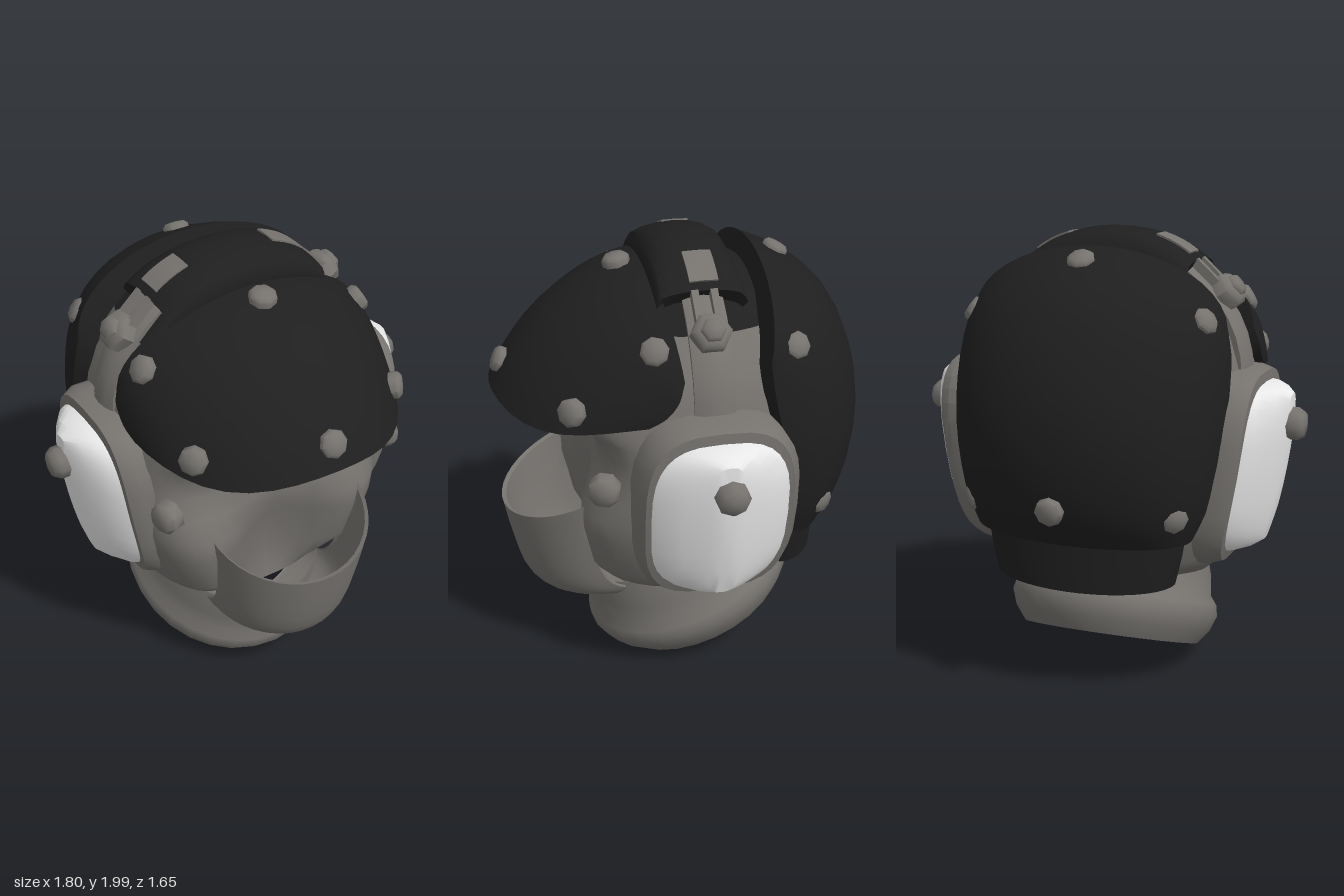
import * as THREE from 'three';
import { toCreasedNormals } from 'three/addons/utils/BufferGeometryUtils.js';

const paint = (name, color) =>
  new THREE.MeshStandardMaterial({ name, color, side: THREE.DoubleSide });

// Surface from cross-section rows: fn(i, j) gives a point
function grid(fn, rows, cols, wrap, crease) {
  const pos = [], idx = [];
  for (let i = 0; i < rows; i++) for (let j = 0; j < cols; j++) pos.push(...fn(i, j));
  for (let i = 0; i < rows - 1; i++) {
    for (let j = 0; j < (wrap ? cols : cols - 1); j++) {
      const a = i * cols + j, b = i * cols + (j + 1) % cols;
      idx.push(a, b, a + cols, b, b + cols, a + cols);
    }
  }
  const g = new THREE.BufferGeometry();
  g.setAttribute('position', new THREE.Float32BufferAttribute(pos, 3));
  g.setIndex(idx);
  g.computeVertexNormals();
  return crease ? toCreasedNormals(g, crease) : g;
}

// Curved padded panel. apex: [y, z] on the centre line, ends: [w, y, z] at the sides.
// The border is folded inwards towards "centre" to give the panel its thickness.
function panel({ apex, ends, t0 = -Math.PI / 2, t1 = Math.PI / 2, centre = 1.1, k = 0.9, dip = 0, nv = 12, nu = 20 }) {
  const A = new THREE.CatmullRomCurve3(apex.map(([y, z]) => new THREE.Vector3(0, y, z)));
  const E = new THREE.CatmullRomCurve3(ends.map(([w, y, z]) => new THREE.Vector3(w, y, z)));
  const clamp = THREE.MathUtils.clamp;
  return grid((i, j) => {
    const v = clamp(i - 1, 0, nv) / nv, u = clamp(j - 1, 0, nu) / nu;
    const t = t0 + (t1 - t0) * u, c = Math.cos(t), s = Math.sin(t);
    const a = A.getPoint(v), e = E.getPoint(v);
    const y = e.y + (a.y - e.y) * c - dip * (1 - v) * Math.sin(2 * t) ** 2;
    const z = e.z + (a.z - e.z) * c;
    const f = i < 1 || j < 1 || i > nv + 1 || j > nu + 1 ? k : 1;
    return [e.x * s * f, centre + (y - centre) * f, z * f];
  }, nv + 3, nu + 3, false, 0.7);
}

const power = (c, n) => Math.sign(c) * Math.abs(c) ** (2 / n);

export function createModel() {
  const gray = paint('grayLeather', 0x76736f);
  const black = paint('blackPadding', 0x1f1f1f);
  const white = paint('whiteShell', 0xeeeeee);
  const model = new THREE.Group();
  model.name = 'paddedHelmet';
  const head = new THREE.Group();
  head.name = 'head';
  head.position.x = -0.03;
  model.add(head);
  const add = (name, geo, mat, parent = head) => {
    const m = new THREE.Mesh(geo, mat);
    m.name = name;
    parent.add(m);
    return m;
  };

  // Hood with a sunken face: y, half width, front z, back z, squareness, centre dent
  const hood = [
    [0.42, 0.37, 0.42, 0.42, 2.2, 0.08], [0.5, 0.46, 0.5, 0.5, 2.5, 0.18],
    [0.6, 0.53, 0.56, 0.56, 2.8, 0.25], [0.8, 0.59, 0.58, 0.66, 3, 0.25],
    [0.9, 0.61, 0.56, 0.69, 3.1, 0.18], [1.0, 0.62, 0.48, 0.7, 3.4, 0.09],
    [1.1, 0.62, 0.43, 0.72, 3.6, 0.05], [1.18, 0.62, 0.43, 0.73, 3.5, 0.04],
    [1.26, 0.62, 0.48, 0.73, 3, 0.03], [1.33, 0.6, 0.61, 0.73, 2.4, 0],
    [1.42, 0.59, 0.68, 0.71, 2.1, 0], [1.55, 0.55, 0.59, 0.66, 2, 0],
    [1.7, 0.46, 0.43, 0.54, 2, 0],
    [1.8, 0.36, 0.3, 0.4, 2, 0], [1.87, 0.2, 0.17, 0.22, 2, 0], [1.89, 0, 0, 0, 2, 0],
  ];
  const hoodPart = (name, rows, mat) => add(name, grid((i, j) => {
    const [y, w, zf, zb, n, dent] = rows[i], a = (j / 44) * Math.PI * 2;
    const c = Math.cos(a), front = c > 0, m = front ? n : 2.1;
    const x = w * power(Math.sin(a), m);
    const z = (front ? zf : zb) * power(c, m) - (front ? dent * Math.exp(-((x / 0.27) ** 2)) : 0);
    const lift = y < 0.6 && z < 0 ? -z * 0.25 * (0.6 - y) / 0.18 : 0;
    return [x, y + lift, z];
  }, rows.length, 44, true), mat);
  hoodPart('hood', hood.slice(0, 13), gray);
  hoodPart('crownLining', hood.slice(12), black);

  // Mouth guard standing clear of the face, wrapping under the chin
  add('mouthGuard', panel({
    apex: [[0.28, 0.28], [0.29, 0.42], [0.34, 0.64], [0.42, 0.72], [0.6, 0.775], [0.78, 0.81]],
    ends: [[0.3, 0.42, 0.08], [0.3, 0.41, 0.2], [0.31, 0.42, 0.32], [0.325, 0.5, 0.4], [0.35, 0.7, 0.45], [0.38, 0.92, 0.46]],
    centre: 0.6, k: 0.975, nv: 14,
  }), gray);

  // Rolled neck collar, tipped up at the back and flattened where it rests
  const profile = [[0.34, 0.26], [0.32, 0.06], [0.34, 0], [0.4, -0.015], [0.45, 0.05], [0.475, 0.12],
    [0.465, 0.17], [0.435, 0.21], [0.425, 0.3], [0.39, 0.42]].map(p => new THREE.Vector2(...p));
  const collar = new THREE.LatheGeometry(profile, 28)
    .scale(1, 1, 1.08).rotateX(0.38).translate(0, 0.145, -0.1);
  const cp = collar.attributes.position;
  for (let i = 0; i < cp.count; i++) {
    const y = cp.getY(i);
    if (y < 0.025) cp.setY(i, 0.025 * Math.exp((y - 0.025) / 0.025));
  }
  collar.computeVertexNormals();
  add('neckCollar', toCreasedNormals(collar, 0.9), gray);

  // Black pads
  add('frontPad', panel({
    apex: [[1.37, 0.83], [1.5, 0.755], [1.67, 0.61], [1.81, 0.41], [1.868, 0.25], [1.88, 0.14]],
    ends: [[0.6, 1.375, 0.24], [0.61, 1.41, 0.18], [0.612, 1.45, 0.14], [0.61, 1.5, 0.11], [0.6, 1.53, 0.1], [0.59, 1.56, 0.09]],
    dip: 0.045, k: 0.87,
  }), black);
  add('rearPad', panel({
    apex: [[1.93, -0.32], [1.85, -0.5], [1.72, -0.65], [1.5, -0.76], [1.25, -0.81], [1.0, -0.79], [0.82, -0.73], [0.72, -0.65]],
    ends: [[0.58, 1.6, -0.27], [0.6, 1.5, -0.28], [0.605, 1.4, -0.3], [0.605, 1.28, -0.33], [0.595, 1.15, -0.36],
      [0.57, 1.0, -0.39], [0.54, 0.85, -0.4], [0.49, 0.73, -0.43]],
    k: 0.87, nv: 14,
  }), black);
  add('napeFlap', panel({
    apex: [[0.78, -0.64], [0.64, -0.635], [0.51, -0.63]],
    ends: [[0.46, 0.78, -0.4], [0.44, 0.65, -0.4], [0.41, 0.52, -0.4]],
    centre: 0.7, k: 0.9, nv: 4,
  }), black);

  // Headband with its black crown strap and inset patches
  add('headband', panel({
    apex: [[1.92, 0.05], [1.94, 0], [1.94, -0.07], [1.92, -0.12]],
    ends: [[0.6, 1.38, 0.05], [0.62, 1.38, 0], [0.62, 1.38, -0.07], [0.6, 1.38, -0.12]],
    k: 0.9, nv: 4,
  }), gray);
  add('crownStrap', panel({
    apex: [[1.87, 0.16], [1.95, 0.14], [1.99, 0.04], [1.99, -0.1], [1.95, -0.19], [1.87, -0.22]],
    ends: [[0.44, 1.73, 0.16], [0.44, 1.73, 0.14], [0.44, 1.73, 0.04], [0.44, 1.73, -0.1], [0.44, 1.73, -0.19], [0.44, 1.73, -0.22]],
    t0: -1.05, t1: 1.05, centre: 1.3, k: 0.9, nv: 10,
  }), black);
  for (const s of [-1, 1]) {
    const t = [s * 0.48, s * 0.93].sort((a, b) => a - b);
    add('crownPatch', panel({
      apex: [[1.998, 0.02], [2.0, -0.04], [1.998, -0.1]],
      ends: [[0.445, 1.738, 0.02], [0.445, 1.74, -0.04], [0.445, 1.738, -0.1]],
      t0: t[0], t1: t[1], centre: 1.3, k: 0.988, nv: 4, nu: 6,
    }), gray);
  }

  // Octagonal studs: position and outward direction
  const up = new THREE.Vector3(0, 1, 0);
  const stud = (name, p, d, r, h, parent = head, sides = 8) => {
    const g = new THREE.LatheGeometry([[0, -h], [r, -h], [r, h * 0.3], [r * 0.75, h * 0.85], [0, h]]
      .map(q => new THREE.Vector2(...q)), sides);
    const m = add(name, toCreasedNormals(g, 0.95), gray, parent);
    m.position.set(...p);
    m.quaternion.setFromUnitVectors(up, new THREE.Vector3(...d).normalize());
  };
  for (const [p, d] of [
    [[0, 1.47, 0.78], [0, 0.45, 1]], [[0, 1.88, 0.26], [0, 1, 0.2]],
    [[0, 1.88, -0.44], [0, 1, -0.55]], [[0, 0.9, -0.785], [0, -0.25, -1]],
  ]) stud('centreStud', p, d, 0.06, 0.028);
  for (const s of [-1, 1]) {
    for (const [x, y, z, dx, dy, dz] of [
      [0.5, 1.43, 0.54, 1, 0.3, 0.9], [0.53, 1.68, 0.2, 1, 0.6, 0.2],
      [0.52, 1.65, -0.39, 1, 0.75, -0.35], [0.46, 0.86, -0.56, 1, -0.15, -0.9],
    ]) stud('padStud', [s * x, y, z], [s * dx, dy, dz], 0.06, 0.028);
    stud('cheekStud', [s * 0.57, 1.09, 0.425], [s, 0, 0.3], 0.07, 0.04);
  }

  // Ear cups and headband clamps, mirrored; the cups lean in towards the jaw
  const cupLoop = (layers, hy, hz) => grid((i, j) => {
    const [x, sy, sz] = layers[i], a = (j / 32) * Math.PI * 2;
    const y = hy * sy * power(Math.cos(a), 3.1);
    return [x + y * 0.16 - y * y * 0.15, 0.98 + y, -0.035 + hz * sz * power(Math.sin(a), 3.1)];
  }, layers.length, 32, true, 0.6);
  for (const s of [-1, 1]) {
    const ear = new THREE.Group();
    ear.name = s > 0 ? 'leftEar' : 'rightEar';
    ear.scale.x = s;
    model.add(ear);
    add('earCup', cupLoop([[0.42, 1, 1], [0.62, 1, 1], [0.675, 0.96, 0.9], [0.68, 0.84, 0.8]], 0.435, 0.35), gray, ear);
    add('earShell', cupLoop([[0.655, 1, 1], [0.705, 0.99, 0.87], [0.76, 0.95, 0.56], [0.8, 0.88, 0.25], [0.81, 0.6, 0.14], [0.815, 0, 0]], 0.375, 0.31), white, ear);
    stud('earStud', [0.85, 1.18, -0.04], [1, 0, 0], 0.072, 0.05, ear);

    const clamp = new THREE.Group();
    clamp.name = s > 0 ? 'leftClamp' : 'rightClamp';
    clamp.scale.x = s;
    head.add(clamp);
    for (const z of [-0.075, 0.005]) {
      const arm = add('clampArm', new THREE.BoxGeometry(0.16, 0.04, 0.03), gray, clamp);
      arm.position.set(0.43, 1.8, z);
      arm.rotation.z = -0.75;
    }
    stud('clampNut', [0.515, 1.735, -0.035], [0.8, 0.6, 0], 0.085, 0.04, clamp, 6);
    stud('clampBolt', [0.54, 1.755, -0.035], [0.8, 0.6, 0], 0.052, 0.03, clamp, 6);
  }
  return model;
}
